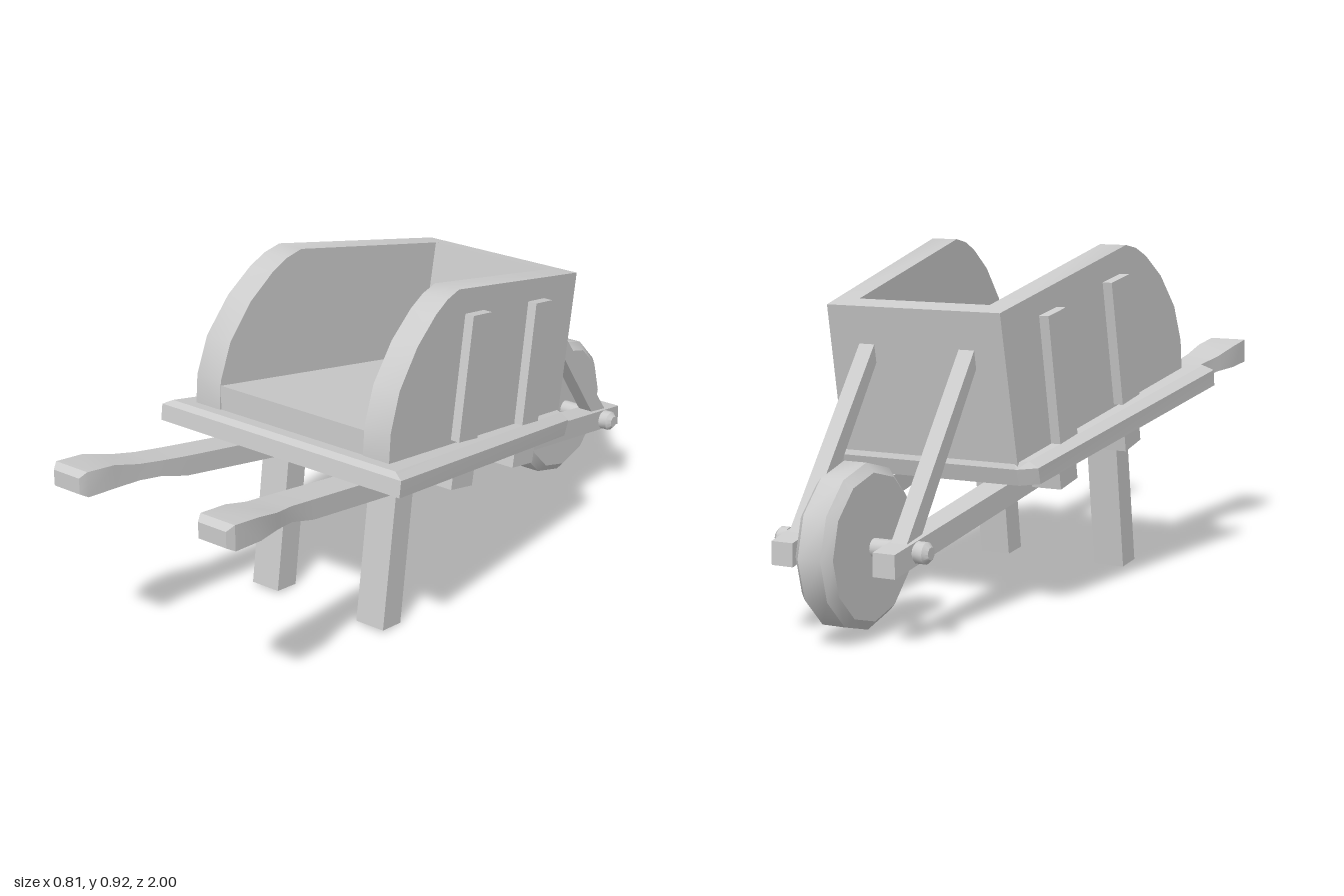
import * as THREE from 'three';
import { toCreasedNormals } from 'three/addons/utils/BufferGeometryUtils.js';

const material = new THREE.MeshStandardMaterial({ color: 0xcccccc });

function makeMesh(name, geometry, crease = 0.6) {
  const mesh = new THREE.Mesh(toCreasedNormals(geometry, crease), material);
  mesh.name = name;
  return mesh;
}

// Side profile of [z, y] points, spanning x from inner(z) to outer(z)
function prism(name, profile, inner, outer, crease) {
  const at = (f, z) => (typeof f === 'function' ? f(z) : f);
  const shape = new THREE.Shape(profile.map(([z, y]) => new THREE.Vector2(-z, y)));
  const geometry = new THREE.ExtrudeGeometry(shape, { depth: 1, bevelEnabled: false });
  const p = geometry.attributes.position;
  for (let i = 0; i < p.count; i++) {
    const z = -p.getX(i);
    const x = THREE.MathUtils.lerp(at(inner, z), at(outer, z), p.getZ(i));
    p.setXYZ(i, x, p.getY(i), z);
  }
  return makeMesh(name, geometry, crease);
}

// Closed solid through rings of [x, y, z] points, counter-clockwise along the travel
function loft(name, rings, crease) {
  const n = rings[0].length;
  const index = [];
  for (let i = 0; i < rings.length - 1; i++) {
    for (let j = 0; j < n; j++) {
      const a = i * n + j, b = i * n + (j + 1) % n;
      index.push(a, b, b + n, a, b + n, a + n);
    }
  }
  const last = (rings.length - 1) * n;
  for (let j = 1; j < n - 1; j++) {
    index.push(0, j + 1, j, last, last + j, last + j + 1);
  }
  const geometry = new THREE.BufferGeometry();
  geometry.setAttribute('position', new THREE.Float32BufferAttribute(rings.flat(2), 3));
  geometry.setIndex(index);
  return makeMesh(name, geometry, crease);
}

// Plan taper of the box walls and slope of the bed
const wallInner = (z) => 0.243 - 0.057 * (0.43 - z);
const wallOuter = (z) => 0.327 - 0.077 * (0.43 - z);
const bedTop = (z) => 0.563 + 0.179 * (z - 0.48);

function createSide() {
  const side = new THREE.Group();

  // Rail ending in a shaped handle: z, bottom, top, inner x, outer x
  const sections = [
    [-0.885, 0.18, 0.24, 0.115, 0.177],
    [0.65, 0.461, 0.516, 0.168, 0.258],
    [0.74, 0.49, 0.533, 0.174, 0.264],
    [0.81, 0.502, 0.547, 0.18, 0.28],
    [0.89, 0.508, 0.571, 0.185, 0.297],
    [0.98, 0.515, 0.583, 0.188, 0.297],
    [1.0, 0.527, 0.57, 0.198, 0.286],
  ];
  side.add(loft('railWithHandle', sections.map(([z, b, t, i, o]) =>
    [[i, b, z], [o, b, z], [o, t, z], [i, t, z]]), 0.5));

  // Side wall with rounded front
  side.add(prism('sideWall', [
    [0.437, 0.54], [0.437, 0.56], [0.43, 0.635], [0.39, 0.735], [0.31, 0.827],
    [0.225, 0.887], [0.17, 0.912], [0.115, 0.923], [-0.507, 0.788], [-0.415, 0.345],
  ], wallInner, wallOuter, 0.5));

  // Upright battens on the wall
  const battens = [
    [[0.147, 0.515], [0.083, 0.847], [-0.008, 0.83], [0.056, 0.495]],
    [[-0.18, 0.447], [-0.24, 0.783], [-0.325, 0.767], [-0.265, 0.43]],
  ];
  for (const profile of battens) {
    side.add(prism('batten', profile, (z) => wallOuter(z) - 0.02, (z) => wallOuter(z) + 0.027));
  }

  // Blocks between bed and rail
  side.add(prism('bedBlock', [[0.17, 0.385], [0.158, 0.447], [0.065, 0.43], [0.077, 0.365]], 0.18, 0.325));
  side.add(prism('bedBlock', [[-0.155, 0.325], [-0.167, 0.388], [-0.262, 0.371], [-0.25, 0.308]], 0.17, 0.295));

  side.add(prism('leg', [[0.34, 0.008], [0.277, 0.43], [0.205, 0.415], [0.265, 0]], 0.139, 0.23));

  // Strut from the axle to the back of the box
  side.add(prism('strut', [[-0.47, 0.71], [-0.825, 0.242], [-0.765, 0.238], [-0.46, 0.663]], 0.125, 0.17));

  // Knob on the axle end
  const knob = makeMesh('axleKnob', new THREE.LatheGeometry([
    [0, 0.185], [0.028, 0.185], [0.028, 0.21], [0.016, 0.222], [0, 0.222],
  ].map(([r, h]) => new THREE.Vector2(r, h)), 12));
  knob.rotation.z = -Math.PI / 2;
  knob.position.set(0, 0.23, -0.79);
  side.add(knob);
  return side;
}

export function createModel() {
  const model = new THREE.Group();
  model.name = 'wheelbarrow';

  for (const sign of [1, -1]) {
    const side = createSide();
    side.name = sign > 0 ? 'leftSide' : 'rightSide';
    side.scale.x = sign;
    model.add(side);
  }

  // Bed: tapered board with clipped rear corners and bevelled top edge
  const bedRing = (half, drop) => {
    const left = half.map(([x, z]) => [x, bedTop(z) - drop, z]);
    const right = half.map(([x, z]) => [-x, bedTop(z) - drop, z]).reverse();
    return [...left, ...right];
  };
  model.add(loft('bed', [
    bedRing([[0.405, 0.495], [0.308, -0.39], [0.26, -0.415]], 0.062),
    bedRing([[0.405, 0.488], [0.31, -0.405], [0.26, -0.43]], 0.016),
    bedRing([[0.377, 0.475], [0.283, -0.405], [0.25, -0.425]], 0),
  ], 0.1));

  // Box floor and back panel between the walls
  const left = wallInner, right = (z) => -wallInner(z);
  model.add(prism('boxFloor', [[0.432, 0.54], [0.43, 0.622], [-0.4, 0.473], [-0.4, 0.38]], right, left));
  model.add(prism('backPanel', [[-0.507, 0.788], [-0.447, 0.801], [-0.36, 0.36], [-0.415, 0.345]], right, left));

  // Wheel with chamfered rim
  const wheel = makeMesh('wheel', new THREE.LatheGeometry([
    [0, -0.053], [0.185, -0.053], [0.208, -0.032], [0.208, 0.032], [0.185, 0.053], [0, 0.053],
  ].map(([r, h]) => new THREE.Vector2(r, h)), 12));
  wheel.rotation.z = -Math.PI / 2;
  wheel.position.set(-0.008, 0.23, -0.79);
  model.add(wheel);

  const axle = makeMesh('axle', new THREE.CylinderGeometry(0.024, 0.024, 0.4, 12));
  axle.rotation.z = -Math.PI / 2;
  axle.position.set(0, 0.23, -0.79);
  model.add(axle);

  return model;
}
